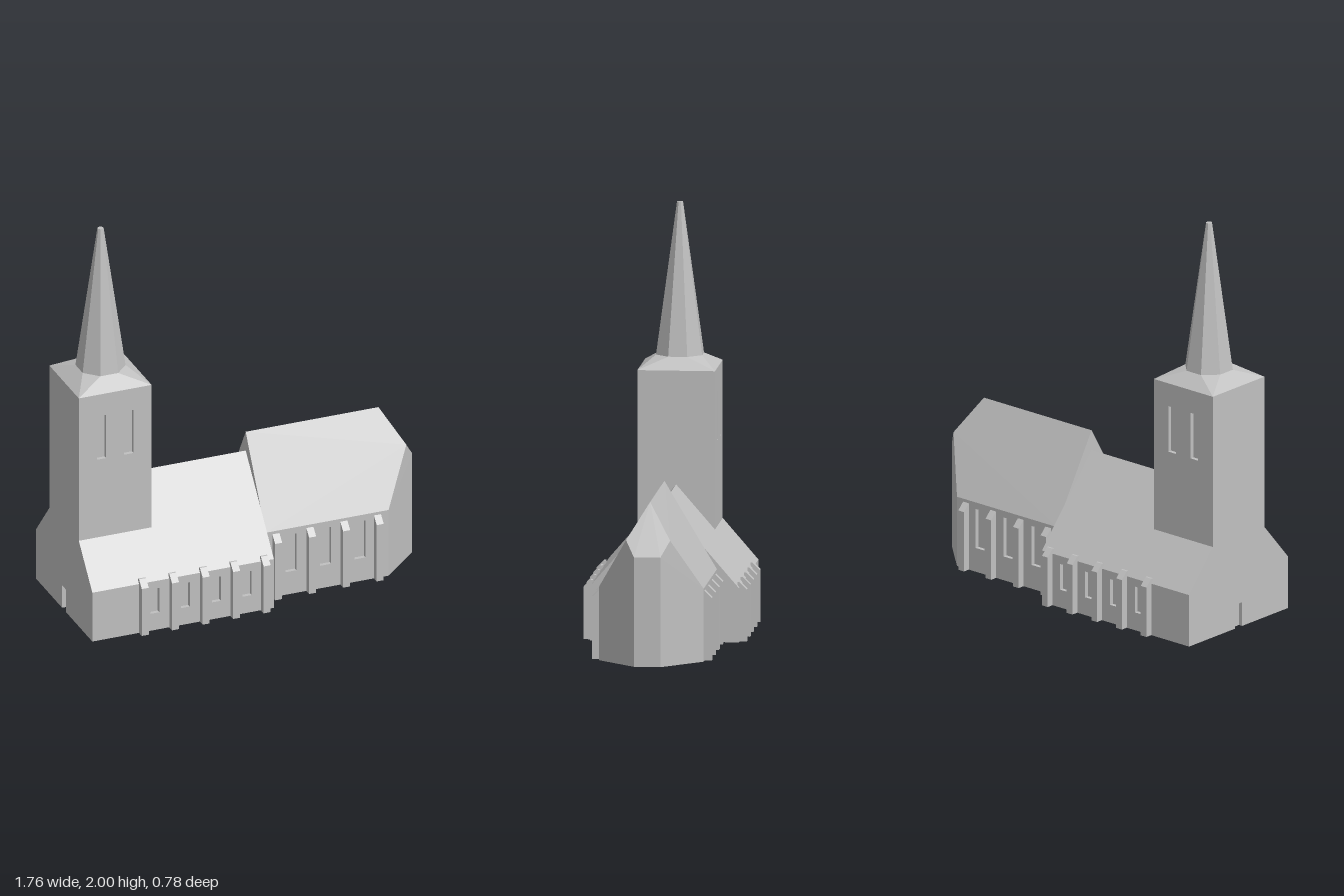
import * as THREE from 'three';
import { ConvexGeometry } from 'three/addons/geometries/ConvexGeometry.js';

const RECESS = 0.02; // depth of window and door niches

export function createModel() {
  const church = new THREE.Group();
  church.name = 'church';
  const stone = new THREE.MeshStandardMaterial({ color: 0xc0c0c0 });
  stone.name = 'grey stone';

  const add = (name, geometry, x = 0, y = 0, z = 0) => {
    const mesh = new THREE.Mesh(geometry, stone);
    mesh.name = name;
    mesh.position.set(x, y, z);
    church.add(mesh);
    return mesh;
  };
  const rect = (x0, x1, y0, y1) => [[x0, y0], [x1, y0], [x1, y1], [x0, y1]];
  const vectors = (points) => points.map(([x, y]) => new THREE.Vector2(x, y));
  const extrude = (outline, depth, holes = []) => {
    const shape = new THREE.Shape(vectors(outline));
    holes.forEach((h) => shape.holes.push(new THREE.Path(vectors(h))));
    return new THREE.ExtrudeGeometry(shape, { depth, bevelEnabled: false });
  };
  // Cross-section given as [z, y], swept along +x
  const alongX = (section, length, holes = []) => {
    const flip = (list) => list.map(([z, y]) => [-z, y]);
    return extrude(flip(section), length, holes.map(flip)).rotateY(Math.PI / 2);
  };
  const openings = (centres, width, y0, y1) =>
    centres.map((c) => rect(c - width / 2, c + width / 2, y0, y1));
  // Pierced walls on both long sides; outer face at z = +-zOut
  const sideWalls = (name, outline, holes, zOut) => {
    add(name + 'Front', extrude(outline, RECESS, holes), 0, 0, zOut - RECESS);
    add(name + 'Back', extrude(outline, RECESS, holes), 0, 0, -zOut);
  };
  // Buttresses with sloping tops on both long sides
  const buttresses = (name, centres, zWall, zOut, yLow, yHigh) => {
    for (const s of [1, -1]) {
      const section = [[zWall - 0.01, 0], [zOut, 0], [zOut, yLow], [zWall, yHigh], [zWall - 0.01, yHigh]]
        .map(([z, y]) => [s * z, y]);
      centres.forEach((x) => add(name, alongX(section, 0.036), x - 0.018));
    }
  };

  // Nave: inset core under a full-width gable roof
  const nw = 0.355, ni = nw - RECESS;
  add('naveBody', alongX(
    [[-ni, 0], [ni, 0], [ni, 0.26], [nw, 0.26], [0, 0.67], [-nw, 0.26], [-ni, 0.26]], 0.91), -0.86);
  sideWalls('naveWall', rect(-0.86, 0.05, 0, 0.26),
    openings([-0.56, -0.404, -0.245, -0.087], 0.046, 0.09, 0.22), nw);
  buttresses('naveButtress', [-0.623, -0.468, -0.311, -0.155, 0.001], nw, 0.39, 0.25, 0.285);

  // West gable with a door niche
  add('westGable', alongX(
    [[-nw, 0], [-0.025, 0], [-0.025, 0.12], [0.025, 0.12], [0.025, 0], [nw, 0], [nw, 0.26], [0, 0.67], [-nw, 0.26]],
    RECESS), -0.88);

  // Choir: inset lower body widening to the full apse plan
  const cw = 0.25, ci = cw - RECESS;
  const half = [[0.05, ci], [0.68, ci], [0.68, cw], [0.877, 0.063]];
  const plan = [...half, ...half.map(([x, z]) => [x, -z]).reverse()];
  add('choirBody', extrude(plan, 0.35).rotateX(-Math.PI / 2));
  sideWalls('choirWall', rect(0.05, 0.68, 0, 0.35),
    openings([0.18, 0.358, 0.534], 0.056, 0.12, 0.317), cw);
  buttresses('choirButtress', [0.103, 0.277, 0.451, 0.623], cw, 0.285, 0.3, 0.335);

  // Choir roof with hipped apse end
  const roof = [new THREE.Vector3(0.05, 0.77, 0), new THREE.Vector3(0.73, 0.77, 0)];
  for (const s of [1, -1]) {
    [[0.05, 0.35, cw], [0.68, 0.35, cw], [0.83, 0.6, 0.105], [0.877, 0.525, 0.063], [0.877, 0.35, 0.063]]
      .forEach(([x, y, z]) => roof.push(new THREE.Vector3(x, y, s * z)));
  }
  add('choirRoof', new ConvexGeometry(roof));

  // Tower: inset core with pierced walls on three sides
  const x0 = -0.88, x1 = -0.507, tw = 0.185, y0 = 0.3, y1 = 1.215;
  const tx = (x0 + x1) / 2;
  const ti = tw - RECESS;
  add('towerCore', new THREE.BoxGeometry(x1 - x0 - RECESS, y1 - y0, 2 * ti),
    tx + RECESS / 2, (y0 + y1) / 2, 0);
  sideWalls('towerWall', rect(x0, x1, y0, y1),
    openings([tx - 0.07, tx + 0.07], 0.048, 0.87, 1.1), tw);
  add('towerWallWest', alongX(rect(-ti, ti, y0, y1), RECESS,
    openings([-0.07, 0.07], 0.048, 0.87, 1.1)), x0);

  // Tower cap: square to octagon
  const R = 0.119;
  const cap = [];
  for (const sx of [x0, x1]) for (const sz of [-tw, tw]) cap.push(new THREE.Vector3(sx, y1, sz));
  for (let i = 0; i < 8; i++) {
    const a = (i + 0.5) * Math.PI / 4;
    cap.push(new THREE.Vector3(tx + R * Math.cos(a), 1.27, R * Math.sin(a)));
  }
  add('towerCap', new ConvexGeometry(cap));

  // Octagonal spire with a blunt tip
  const spire = new THREE.CylinderGeometry(0.015, R, 0.73, 8).rotateY(Math.PI / 8).toNonIndexed();
  spire.computeVertexNormals();
  add('spire', spire, tx, 1.635, 0);

  return church;
}
